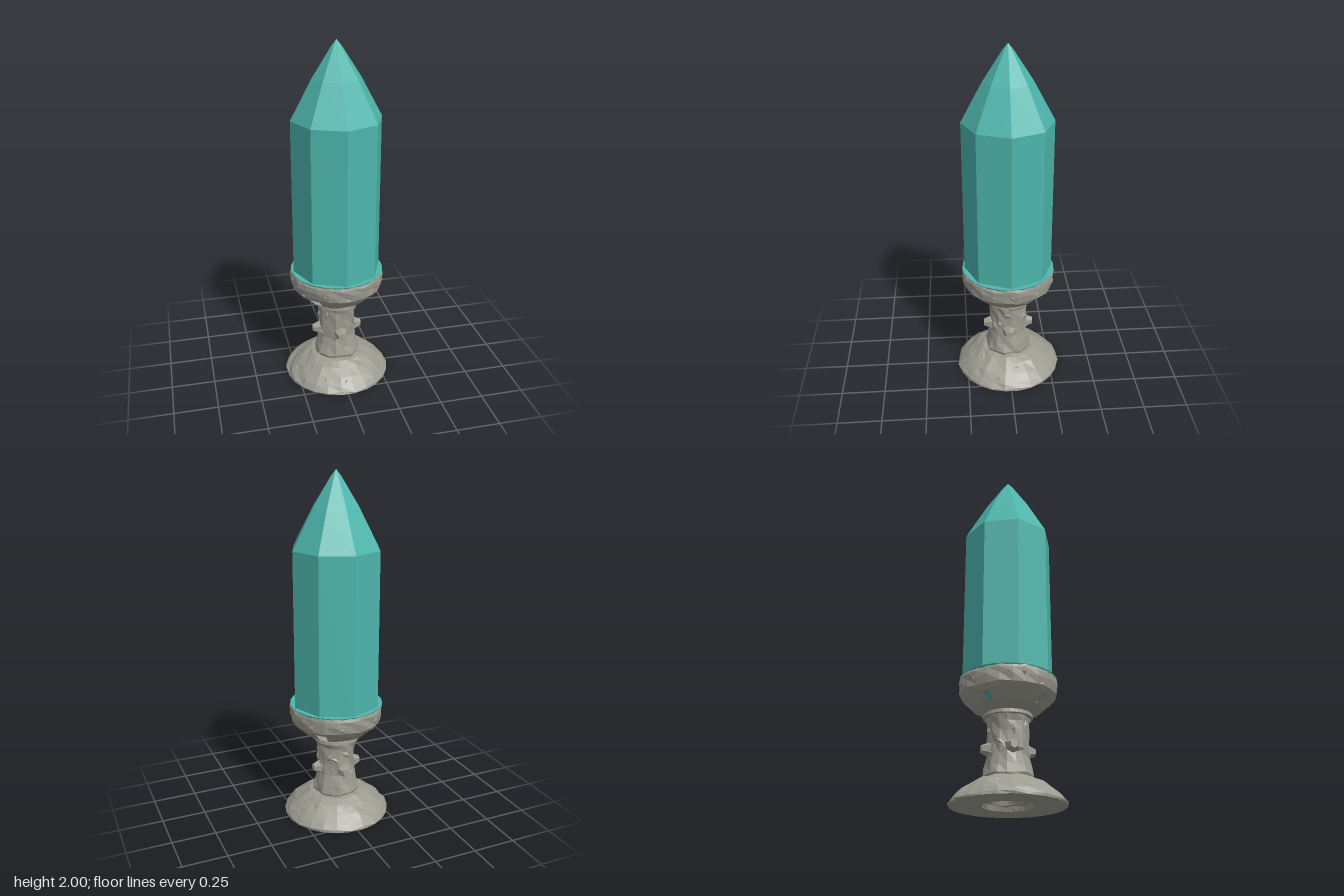
import * as THREE from 'three';

const SEG = 24;
const STEP = (Math.PI * 2) / SEG;

// Repeatable pseudo-random numbers
function seeded(seed) {
  return () => {
    seed = (seed * 16807) % 2147483647;
    return seed / 2147483647;
  };
}

// Faceted look: every face gets its own normal
function facet(geometry) {
  const g = geometry.index ? geometry.toNonIndexed() : geometry;
  g.computeVertexNormals();
  return g;
}

// Chip a surface; the offset depends only on position, so seams stay closed
function roughen(geometry, amount) {
  const p = geometry.attributes.position;
  for (let i = 0; i < p.count; i++) {
    const x = p.getX(i), y = p.getY(i), z = p.getZ(i);
    const r = Math.hypot(x, z);
    if (r < 0.02 || y < 0.012) continue;
    const n = Math.sin(x * 47 + y * 31) * Math.cos(z * 43 - y * 37);
    const k = 1 + (n * amount) / r;
    p.setXYZ(i, x * k, y + Math.sin(x * 39 - z * 53 + y * 20) * amount * 0.6, z * k);
  }
  return geometry;
}

function turned(points, amount, segments = SEG, start = STEP / 2, length = Math.PI * 2) {
  const profile = points.map(([r, y]) => new THREE.Vector2(r, y));
  return facet(roughen(new THREE.LatheGeometry(profile, segments, start, length), amount));
}

export function createModel() {
  const model = new THREE.Group();
  const crystalTeal = new THREE.MeshStandardMaterial({ color: 0x4db6ac });
  const stone = new THREE.MeshStandardMaterial({ color: 0x9c9b90, side: THREE.DoubleSide });

  function add(name, geometry, material, parent = model) {
    const mesh = new THREE.Mesh(geometry, material);
    mesh.name = name;
    parent.add(mesh);
    return mesh;
  }

  // Foot with a stepped recess underneath
  add('foot', turned([
    [0, 0.05], [0.09, 0.05], [0.1, 0.025], [0.125, 0.025], [0.135, 0],
    [0.308, 0], [0.308, 0.012], [0.285, 0.04], [0.245, 0.075],
    [0.195, 0.11], [0.155, 0.132], [0.12, 0.136],
  ], 0.007), stone);

  // Waisted stem
  add('stem', turned([
    [0.125, 0.12], [0.135, 0.15], [0.122, 0.2], [0.112, 0.26], [0.108, 0.32],
    [0.108, 0.38], [0.113, 0.43], [0.122, 0.47],
  ], 0.008, 16), stone);

  // Collar and bowl floor
  add('collar', turned([
    [0.115, 0.462], [0.135, 0.465], [0.133, 0.484], [0.115, 0.488],
  ], 0.001), stone);
  add('bowlFloor', turned([
    [0.11, 0.484], [0.135, 0.496], [0.188, 0.518], [0.15, 0.52], [0, 0.52],
  ], 0.003), stone);

  // Four wall pieces leave openings on the diagonals
  const walls = new THREE.Group();
  walls.name = 'bowlWalls';
  model.add(walls);
  for (let i = 0; i < 4; i++) {
    add('bowlWall', turned([
      [0.15, 0.515], [0.188, 0.515], [0.238, 0.565], [0.2, 0.565], [0.15, 0.515],
    ], 0.003, 5, STEP * 3.5 + i * Math.PI / 2, STEP * 5), stone, walls);
  }

  // Upper bowl
  add('bowlRim', turned([
    [0.2, 0.562], [0.238, 0.562], [0.262, 0.59], [0.268, 0.635], [0.27, 0.665],
    [0.264, 0.682], [0.255, 0.682], [0.24, 0.62], [0.2, 0.562],
  ], 0.006), stone);

  // Studs around the stem
  const studs = new THREE.Group();
  studs.name = 'studs';
  model.add(studs);
  for (let i = 0; i < 4; i++) {
    const a = i * Math.PI / 2;
    const stud = add('stud', facet(new THREE.CylinderGeometry(0.022, 0.044, 0.05, 6)), stone, studs);
    stud.position.set(Math.sin(a) * 0.122, 0.29, Math.cos(a) * 0.122);
    stud.rotation.set(Math.PI / 2, 0, -a, 'XYZ');
  }

  // Shallow chips scattered over foot, stem and bowl
  const chips = new THREE.Group();
  chips.name = 'stoneChips';
  model.add(chips);
  const random = seeded(77);
  const chipGeometry = facet(new THREE.OctahedronGeometry(1));
  const bands = [[26, 0.265, 0.05, 0.185, 0.108], [14, 0.11, 0.22, 0.108, 0.42], [12, 0.257, 0.59, 0.264, 0.65]];
  for (const [count, r0, y0, r1, y1] of bands) {
    for (let i = 0; i < count; i++) {
      const a = (i + random() * 0.7) / count * Math.PI * 2;
      const t = random();
      const r = r0 + (r1 - r0) * t;
      const chip = add('chip', chipGeometry, stone, chips);
      chip.position.set(Math.sin(a) * r, y0 + (y1 - y0) * t, Math.cos(a) * r);
      // Thin side points out along the surface normal
      const normal = new THREE.Vector3(Math.sin(a) * (y1 - y0), r0 - r1, Math.cos(a) * (y1 - y0)).normalize();
      chip.quaternion.setFromUnitVectors(new THREE.Vector3(0, 0, 1), normal);
      chip.rotateZ(random() * 6);
      chip.scale.set(0.022 + random() * 0.018, 0.012 + random() * 0.01, 0.01);
    }
  }

  // Teal bed that fills the bowl up to its rim
  add('crystalBed', facet(new THREE.CylinderGeometry(0.267, 0.235, 0.06, SEG)), crystalTeal).position.y = 0.656;

  // Eight-sided crystal with a slightly bulging point
  add('crystal', facet(new THREE.LatheGeometry([
    [0, 0.64], [0.254, 0.64], [0.254, 1.58], [0.135, 1.8], [0.03, 1.963], [0, 2],
  ].map(([r, y]) => new THREE.Vector2(r, y)), 8)), crystalTeal);

  return model;
}
